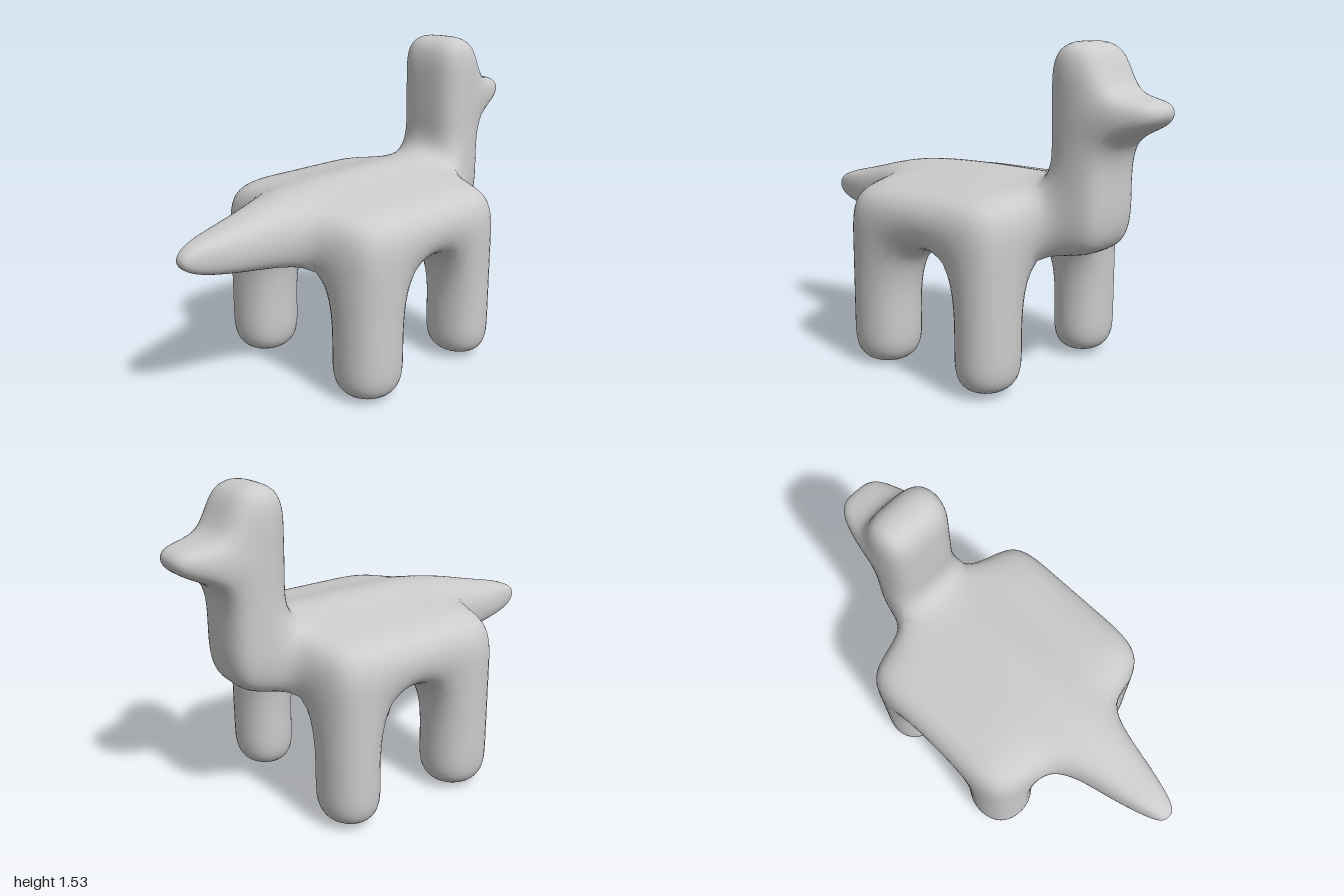
import * as THREE from 'three';
import { mergeVertices } from 'three/addons/utils/BufferGeometryUtils.js';

// Blocks of the rough shape: name, then first and last cell along x, y, z
const BLOCKS = [
  ['torso', [0, 3], [2, 2], [2, 4]],
  ['rightHeadEndLeg', [0, 0], [0, 1], [2, 2]],
  ['leftHeadEndLeg', [3, 3], [0, 1], [2, 2]],
  ['rightTailEndLeg', [0, 0], [0, 1], [4, 4]],
  ['leftTailEndLeg', [3, 3], [0, 1], [4, 4]],
  ['neck', [1, 2], [2, 3], [1, 1]],
  ['head', [1, 2], [4, 5], [1, 1]],
  ['snout', [1, 2], [4, 4], [0, 0]],
  ['tail', [1, 2], [2, 2], [5, 6]],
];
const HALF_WIDTHS = [0, 0.193, 0.529];
const HEIGHTS = [0, 0.2, 0.605, 0.9, 1.129, 1.303, 1.54];
const DEPTHS = [-1.01, -0.785, -0.517, -0.227, 0.096, 0.434, 0.72, 1.012];

// Position of a corner of the block lattice
function place(i, j, k) {
  const s = Math.abs(i - 2);
  let w = HALF_WIDTHS[s], y = HEIGHTS[j], z = DEPTHS[k];
  // back with a soft ridge, dipping at neck and tail
  if (j === 3 && k >= 2 && k <= 5) {
    y = [0.975, 0.9, 0.88][s];
    if (s === 0 && (k === 2 || k === 5)) y = 0.95;
  }
  // chest
  if (j === 2 && k === 1) y = 0.615;
  // feet
  if (j === 0) y = k >= 4 ? -0.012 : 0;
  // neck, head and snout
  if (j >= 4) {
    if (s === 1) w = k === 0 ? 0.115 : 0.188;
    if (k === 2) z = -0.505;
    if (j === 6 && k === 1) z = -0.742;
    if (k === 0) y = j === 4 ? 1.185 : 1.305;
  }
  // tail
  if (k === 6) {
    w = s * 0.135;
    y = j === 2 ? 0.635 : 0.86 - 0.03 * s;
  }
  if (k === 7) {
    w = s * 0.05;
    y = j === 2 ? 0.677 : 0.796;
  }
  return new THREE.Vector3(Math.sign(i - 2) * w, y, z);
}

// Outer faces of all blocks, as quads that share corners
function buildCage() {
  const cells = new Map();
  for (const [name, [x0, x1], [y0, y1], [z0, z1]] of BLOCKS)
    for (let x = x0; x <= x1; x++)
      for (let y = y0; y <= y1; y++)
        for (let z = z0; z <= z1; z++) cells.set([x, y, z].join(), { name, at: [x, y, z] });

  const points = [], ids = new Map(), faces = [];
  const corner = (p) => {
    const key = p.join();
    if (!ids.has(key)) {
      ids.set(key, points.length);
      points.push(place(...p));
    }
    return ids.get(key);
  };
  for (const { name, at } of cells.values())
    for (let axis = 0; axis < 3; axis++)
      for (const side of [0, 1]) {
        const next = [...at];
        next[axis] += side ? 1 : -1;
        if (cells.has(next.join())) continue;
        const quad = [[0, 0], [1, 0], [1, 1], [0, 1]].map(([u, v]) => {
          const p = [...at];
          p[axis] += side;
          p[(axis + 1) % 3] += u;
          p[(axis + 2) % 3] += v;
          return corner(p);
        });
        faces.push({ name, quad: side ? quad : quad.reverse() });
      }
  return { points, faces };
}

// One step of Catmull-Clark smoothing on a closed quad mesh
function subdivide({ points, faces }) {
  const out = points.map(() => new THREE.Vector3());
  const sums = points.map(() => ({ n: 0, face: new THREE.Vector3(), edge: new THREE.Vector3() }));
  const edges = new Map();
  const edgeKey = (a, b) => (a < b ? a + '_' + b : b + '_' + a);

  // face points
  const centres = faces.map(({ quad }) => {
    const c = new THREE.Vector3();
    quad.forEach((v) => c.addScaledVector(points[v], 0.25));
    quad.forEach((a, n) => {
      const b = quad[(n + 1) % 4], key = edgeKey(a, b);
      if (!edges.has(key)) edges.set(key, { a, b, sum: new THREE.Vector3() });
      edges.get(key).sum.add(c);
      sums[a].n++;
      sums[a].face.add(c);
    });
    return out.push(c) - 1;
  });
  // edge points
  for (const e of edges.values()) {
    const mid = points[e.a].clone().add(points[e.b]).multiplyScalar(0.5);
    sums[e.a].edge.add(mid);
    sums[e.b].edge.add(mid);
    e.id = out.push(mid.multiplyScalar(0.5).addScaledVector(e.sum, 0.25)) - 1;
  }
  // moved corners
  points.forEach((p, v) => {
    const { n, face, edge } = sums[v];
    out[v].copy(p).multiplyScalar((n - 3) / n)
      .addScaledVector(face, 1 / (n * n))
      .addScaledVector(edge, 2 / (n * n));
  });
  const split = faces.flatMap(({ name, quad }, f) => quad.map((v, n) => ({
    name,
    quad: [
      v,
      edges.get(edgeKey(v, quad[(n + 1) % 4])).id,
      centres[f],
      edges.get(edgeKey(quad[(n + 3) % 4], v)).id,
    ],
  })));
  return { points: out, faces: split };
}

export function createModel() {
  let shape = buildCage();
  for (let step = 0; step < 3; step++) shape = subdivide(shape);

  // Normals come from the whole skin, so the parts join without seams
  const triangles = (faces) => faces.flatMap(({ quad: [a, b, c, d] }) => [a, b, c, a, c, d]);
  const skin = new THREE.BufferGeometry().setFromPoints(shape.points);
  skin.setIndex(triangles(shape.faces));
  skin.computeVertexNormals();

  const group = new THREE.Group();
  group.name = 'animal';
  const material = new THREE.MeshStandardMaterial({ color: 0xcccccc });
  for (const [name] of BLOCKS) {
    const part = skin.clone();
    part.setIndex(triangles(shape.faces.filter((f) => f.name === name)));
    const mesh = new THREE.Mesh(mergeVertices(part.toNonIndexed()), material);
    mesh.name = name;
    group.add(mesh);
  }
  return group;
}
